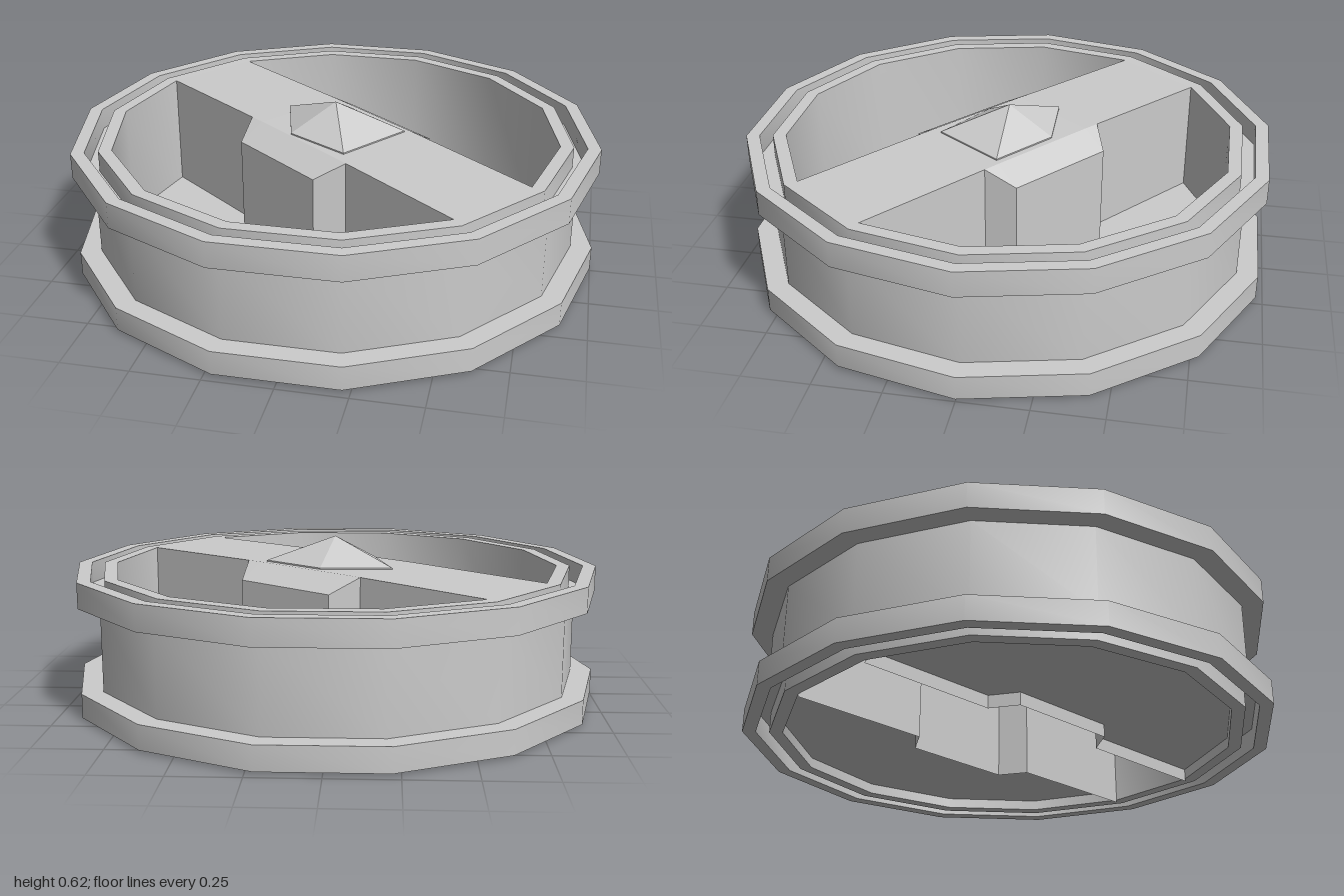
import * as THREE from 'three';
import { toCreasedNormals } from 'three/addons/utils/BufferGeometryUtils.js';
import { ConvexGeometry } from 'three/addons/geometries/ConvexGeometry.js';

const SIDES = 14;
const STEP = (Math.PI * 2) / SIDES;
const INNER = 0.85;
const BAR_W = INNER * Math.sin(STEP / 2);
const BAR_L = INNER * Math.cos(STEP / 2);
// The bar meets one full facet of the rim
const BAR_TURN = -1.5 * STEP;

const grey = () => new THREE.MeshStandardMaterial({ color: 0xcccccc, side: THREE.DoubleSide });

function mesh(name, geometry, flat = false) {
  const material = grey();
  material.flatShading = flat;
  const m = new THREE.Mesh(geometry, material);
  m.name = name;
  return m;
}

// Channelled rim with a flange at the top and bottom
function rim() {
  const profile = [
    [INNER, 0.01], [0.9, 0.01], [0.9, 0.09], [0.95, 0.09], [0.95, 0.01], [1, 0.01],
    [1, 0.1], [0.92, 0.1], [0.92, 0.415], [1, 0.415], [1, 0.51],
    [0.95, 0.51], [0.95, 0.43], [0.9, 0.43], [0.9, 0.51], [INNER, 0.51], [INNER, 0.01],
  ].map(([r, y]) => new THREE.Vector2(r, y));
  const lathe = new THREE.LatheGeometry(profile, SIDES, Math.PI / 2);
  return mesh('rim', toCreasedNormals(lathe, 0.6));
}

// Stations along the bar: position, half width, outer top height, crown height
const stations = [
  [-BAR_L, BAR_W, 0.51, 0.51],
  [-0.283, BAR_W, 0.517, 0.517],
  [-0.22, 0.29, 0.46, 0.518],
  [0.22, 0.29, 0.46, 0.518],
  [0.283, BAR_W, 0.517, 0.517],
  [BAR_L, BAR_W, 0.51, 0.51],
];

// Crossbar, open underneath, widening into a hub with sloped shoulders
function crossbar() {
  const position = [];
  const index = [];
  const n = 6;
  stations.forEach(([u, w, edge, crown], i) => {
    const section = [[-w, 0], [-w, edge], [-BAR_W, crown], [BAR_W, crown], [w, edge], [w, 0]];
    section.forEach(([v, y]) => position.push(u, y, v));
    if (i === 0) return;
    for (let k = 0; k < n - 1; k++) {
      const a = (i - 1) * n + k;
      const b = i * n + k;
      index.push(a, b, a + 1, b, b + 1, a + 1);
    }
  });
  const geometry = new THREE.BufferGeometry();
  geometry.setAttribute('position', new THREE.Float32BufferAttribute(position, 3));
  geometry.setIndex(index);
  const bar = mesh('crossbar', geometry.toNonIndexed(), true);
  bar.geometry.computeVertexNormals();
  bar.rotation.y = BAR_TURN;
  return bar;
}

// Thin floor panel on one side of the crossbar
function floorPanel(side) {
  const points = stations.map(([u, w]) => new THREE.Vector2(u, w));
  for (let k = 1; k < SIDES / 2 - 1; k++) {
    const a = STEP / 2 + k * STEP;
    points.push(new THREE.Vector2(INNER * Math.cos(a), INNER * Math.sin(a)));
  }
  const geometry = new THREE.ExtrudeGeometry(new THREE.Shape(points), { depth: 0.01, bevelEnabled: false });
  geometry.rotateX(-Math.PI / 2);
  const panel = mesh(side > 0 ? 'backFloor' : 'frontFloor', geometry, true);
  panel.position.y = 0.05;
  panel.rotation.y = BAR_TURN + (side > 0 ? 0 : Math.PI);
  return panel;
}

// Irregular five-sided point in the middle of the hub
function hubPoint() {
  const base = [[0.265, 0], [0.08, 0.25], [-0.15, 0.11], [-0.22, -0.16], [0.05, -0.17]];
  const points = [new THREE.Vector3(0, 0.62, 0)];
  base.forEach(([x, z]) => {
    points.push(new THREE.Vector3(x, 0.523, z), new THREE.Vector3(x, 0.51, z));
  });
  return mesh('hubPoint', new ConvexGeometry(points), true);
}

export function createModel() {
  const group = new THREE.Group();
  group.name = 'wheel';
  group.add(rim(), crossbar(), floorPanel(1), floorPanel(-1), hubPoint());
  return group;
}
